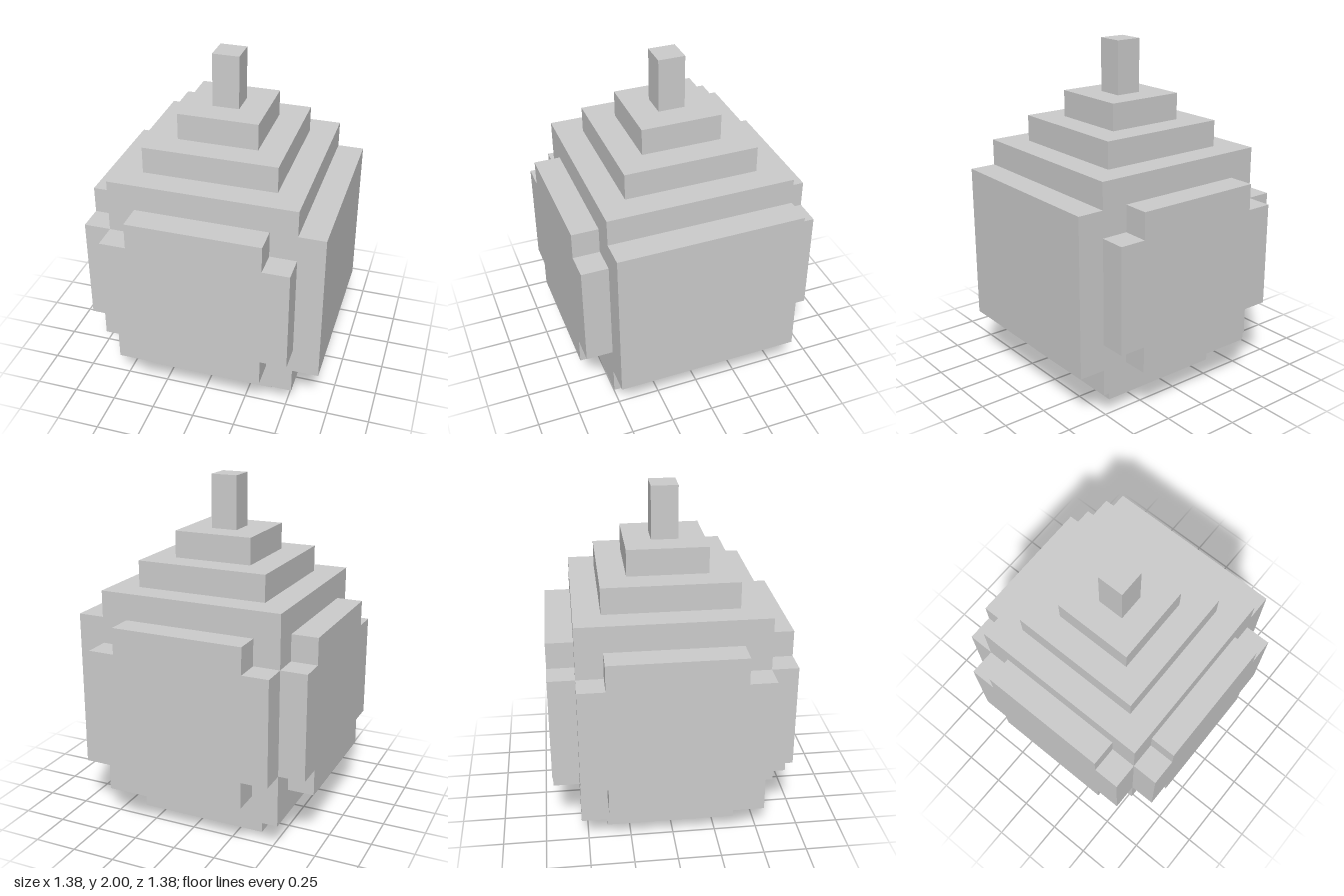
import * as THREE from 'three';

const U = 2 / 13; // one block
const material = new THREE.MeshStandardMaterial({ color: 0xcccccc, flatShading: true });

function add(group, name, geometry) {
  const mesh = new THREE.Mesh(geometry, material);
  mesh.name = name;
  group.add(mesh);
  return mesh;
}

// Square tier, given in blocks: width, bottom and top
function tier(group, name, width, bottom, top) {
  const mesh = add(group, name, new THREE.BoxGeometry(width * U, (top - bottom) * U, width * U));
  mesh.position.y = (bottom + top) / 2 * U;
}

// Raised plate, 7 x 6 blocks and one block thick, with its corner blocks cut out
function notchedPlate() {
  const corners = [
    [-2.5, -3], [2.5, -3], [2.5, -2], [3.5, -2], [3.5, 2], [2.5, 2],
    [2.5, 3], [-2.5, 3], [-2.5, 2], [-3.5, 2], [-3.5, -2], [-2.5, -2],
  ];
  const shape = new THREE.Shape(corners.map(([x, y]) => new THREE.Vector2(x * U, y * U)));
  return new THREE.ExtrudeGeometry(shape, { depth: U, bevelEnabled: false });
}

export function createModel() {
  const model = new THREE.Group();
  model.name = 'blockOrnament';

  // Stacked tiers from the base up to the stem
  tier(model, 'base', 5, 0, 1);
  tier(model, 'body', 7, 1, 9);
  tier(model, 'lowerCap', 5, 9, 10);
  tier(model, 'upperCap', 3, 10, 11);
  tier(model, 'stem', 1, 11, 13);

  // Notched plates on the front, back and right
  const plates = [['frontPlate', 0], ['backPlate', Math.PI], ['rightPlate', -Math.PI / 2]];
  for (const [name, angle] of plates) {
    const plate = add(model, name, notchedPlate());
    plate.rotation.y = angle;
    plate.position.set(Math.sin(angle) * 3.5 * U, 5 * U, Math.cos(angle) * 3.5 * U);
  }

  // Full rectangular plate on the left
  const leftPlate = add(model, 'leftPlate', new THREE.BoxGeometry(U, 6 * U, 7 * U));
  leftPlate.position.set(4 * U, 5 * U, 0);

  return model;
}
